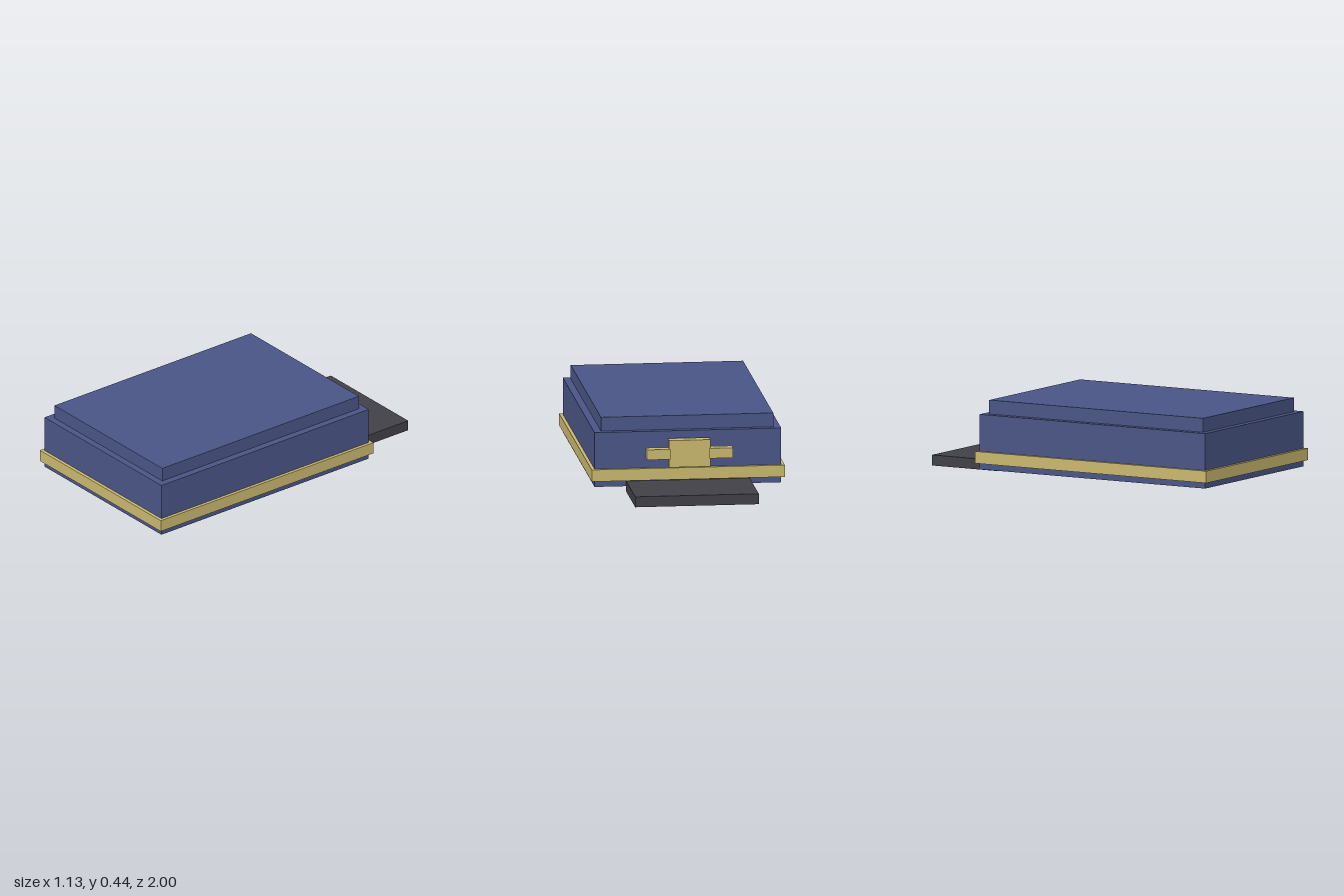
import * as THREE from 'three';

const blue = new THREE.MeshStandardMaterial({ color: 0x4a5586 });
blue.name = 'blue';
const gold = new THREE.MeshStandardMaterial({ color: 0xc9b76e });
gold.name = 'gold';
const charcoal = new THREE.MeshStandardMaterial({ color: 0x404047 });
charcoal.name = 'charcoal';

// Box given by its extents along each axis
function block(name, material, [x0, x1], [y0, y1], [z0, z1]) {
  const mesh = new THREE.Mesh(new THREE.BoxGeometry(x1 - x0, y1 - y0, z1 - z0), material);
  mesh.position.set((x0 + x1) / 2, (y0 + y1) / 2, (z0 + z1) / 2);
  mesh.name = name;
  return mesh;
}

export function createModel() {
  const model = new THREE.Group();
  model.name = 'case';

  // Main body, raised lid and trim band
  model.add(
    block('body', blue, [-0.547, 0.547], [0.032, 0.355], [-0.56, 0.98]),
    block('lid', blue, [-0.505, 0.505], [0.355, 0.437], [-0.52, 0.94]),
    block('trimBand', gold, [-0.566, 0.566], [0.068, 0.138], [-0.58, 1.0]),
  );

  // Flat tongue sticking out at the back
  model.add(block('rearTongue', charcoal, [-0.362, 0.362], [0, 0.062], [-1.0, -0.55]));

  // Rear clasp: centre plate with an arm on each side
  const clasp = new THREE.Group();
  clasp.name = 'clasp';
  clasp.add(
    block('claspPlate', gold, [-0.121, 0.121], [0.155, 0.315], [-0.645, -0.585]),
    block('leftArm', gold, [0.115, 0.252], [0.205, 0.265], [-0.655, -0.596]),
    block('rightArm', gold, [-0.252, -0.115], [0.205, 0.265], [-0.655, -0.596]),
  );
  model.add(clasp);

  return model;
}
